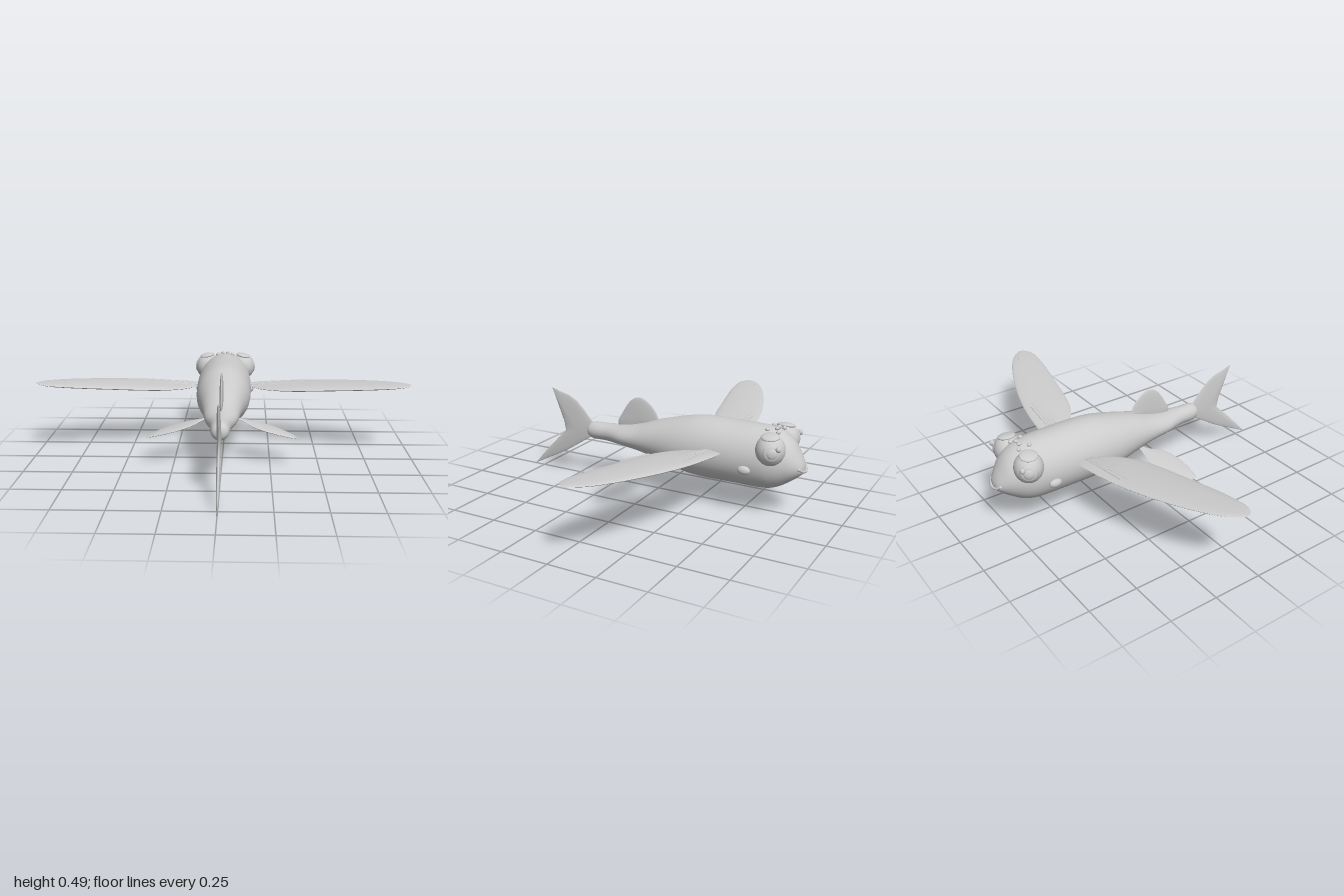
import * as THREE from 'three';

const grey = new THREE.MeshStandardMaterial({ color: 0xcccccc });
grey.name = 'pale grey';

function add(parent, name, geometry, position = [0, 0, 0], scale = [1, 1, 1]) {
  const mesh = new THREE.Mesh(geometry, grey);
  mesh.name = name;
  mesh.position.set(...position);
  mesh.scale.set(...scale);
  parent.add(mesh);
  return mesh;
}

const ball = new THREE.SphereGeometry(1, 32, 20);

function indexed(positions, index) {
  const g = new THREE.BufferGeometry();
  g.setAttribute('position', new THREE.Float32BufferAttribute(positions, 3));
  g.setIndex(index);
  g.computeVertexNormals();
  return g;
}

// Body of elliptical sections: rows of z, top, bottom, half width
function bodyGeometry(rows, steps = 96, sides = 40) {
  const heights = new THREE.CatmullRomCurve3(rows.map(([z, t, b]) => new THREE.Vector3(z, t, b)), false, 'catmullrom');
  const widths = new THREE.CatmullRomCurve3(rows.map(([z, , , w]) => new THREE.Vector3(z, w, 0)), false, 'catmullrom');
  const p = [], index = [];
  for (let i = 0; i <= steps; i++) {
    const h = heights.getPoint(i / steps), w = widths.getPoint(i / steps).y;
    for (let j = 0; j < sides; j++) {
      const a = j / sides * Math.PI * 2;
      p.push(w * Math.cos(a), (h.y + h.z) / 2 + (h.y - h.z) / 2 * Math.sin(a), h.x);
      if (i === steps) continue;
      const k = i * sides + j, n = i * sides + (j + 1) % sides;
      index.push(k, n, k + sides, n, n + sides, k + sides);
    }
  }
  return indexed(p, index);
}

// Lens-shaped fin: outline shrinks to a centre as both faces bulge
function finGeometry(points, center, half, place, smooth = true) {
  let outline = points.map(([u, v]) => new THREE.Vector2(u, v));
  if (smooth) {
    const curve = new THREE.CatmullRomCurve3(outline.map(q => new THREE.Vector3(q.x, q.y, 0)), true);
    outline = curve.getPoints(64).slice(0, 64).map(q => new THREE.Vector2(q.x, q.y));
  }
  if (THREE.ShapeUtils.isClockWise(outline)) outline.reverse();
  const n = outline.length, rings = 8, p = [], index = [];
  for (const side of [1, -1]) {
    const base = p.length / 3;
    for (let r = 0; r <= rings; r++) {
      const angle = r / rings * Math.PI / 2, s = Math.cos(angle);
      for (let j = 0; j < n; j++) {
        const u = center[0] + (outline[j].x - center[0]) * s;
        const v = center[1] + (outline[j].y - center[1]) * s;
        p.push(...place(u, v, side * half * Math.sin(angle)));
        if (r === rings) continue;
        const a = base + r * n + j, b = base + r * n + (j + 1) % n;
        if (side > 0) index.push(a, b, a + n, b, b + n, a + n);
        else index.push(a, a + n, b, b, a + n, b + n);
      }
    }
  }
  return indexed(p, index);
}

const upright = (u, v, w) => [-w, v, u];
const wingY = x => 0.315 + 0.078 * (x - 0.15);
const tube = (pts, r) => new THREE.TubeGeometry(
  new THREE.CatmullRomCurve3(pts.map(q => new THREE.Vector3(...q))), 20, r, 8);

function makeSide() {
  const side = new THREE.Group();

  // Broad gliding wing with a slight upward slope
  add(side, 'wing', finGeometry([
    [0.08, 0.38], [0.15, 0.42], [0.26, 0.415], [0.42, 0.39], [0.57, 0.35], [0.72, 0.295], [0.84, 0.24],
    [0.95, 0.17], [1, 0.095], [0.95, 0.052], [0.83, 0.055], [0.7, 0.077], [0.57, 0.105],
    [0.43, 0.135], [0.31, 0.175], [0.2, 0.25], [0.14, 0.33],
  ], [0.55, 0.23], 0.016, (u, v, w) => [u, wingY(u) + w, -v]));

  // Fin rays on the wing
  for (let i = 0; i < 5; i++) {
    const x = 0.42 + 0.03 * Math.min(i, 2), z = -0.355 + i * 0.023;
    add(side, 'wingRay', tube([
      [0.14, wingY(0.14) + 0.007, -0.375 + i * 0.008],
      [0.3, wingY(0.3) + 0.011, (-0.375 + i * 0.008 + z) / 2],
      [x, wingY(x) + 0.011, z]], 0.003));
  }
  add(side, 'wingTipRay', tube([[0.89, wingY(0.89) + 0.007, -0.17], [0.93, wingY(0.93) + 0.005, -0.15]], 0.003));

  // Small belly fin
  add(side, 'bellyFin', finGeometry([
    [0.07, 0], [0.13, 0.012], [0.2, 0.02], [0.28, -0.005], [0.34, -0.045], [0.385, -0.1], [0.385, -0.13],
    [0.3, -0.14], [0.21, -0.125], [0.15, -0.09], [0.11, -0.04],
  ], [0.25, -0.07], 0.009, (u, v, w) => [u, 0.217 - 0.23 * (u - 0.1) + w, -v]));

  // Bulging eye with iris, pupil, glint and lid
  const eye = [0.1, 0.358, -0.657];
  add(side, 'eyeball', ball, eye, [0.072, 0.077, 0.072]);
  const look = new THREE.Vector3(0.87, 0.04, -0.45).normalize();
  for (const [name, d, r, t] of [['iris', 0.06, 0.043, 0.014], ['pupil', 0.068, 0.026, 0.011]]) {
    const disc = add(side, name, ball, new THREE.Vector3(...eye).addScaledVector(look, d).toArray(), [r, r, t]);
    disc.quaternion.setFromUnitVectors(new THREE.Vector3(0, 0, 1), look);
  }
  add(side, 'eyeGlint', ball, [0.153, 0.385, -0.716], [0.013, 0.015, 0.013]);
  const lid = add(side, 'eyelid', ball, [0.108, 0.425, -0.657], [0.042, 0.013, 0.046]);
  lid.rotation.z = -0.2;

  // Cheek and crown freckles
  add(side, 'cheek', ball, [0.15, 0.252, -0.545], [0.018, 0.022, 0.033]);
  for (const [x, y, z] of [[0.042, 0.431, -0.672], [0.044, 0.439, -0.617], [0.015, 0.442, -0.655]])
    add(side, 'freckle', ball, [x, y, z], [0.011, 0.009, 0.011]);
  return side;
}

export function createModel() {
  const model = new THREE.Group();
  model.name = 'flyingFish';

  add(model, 'body', bodyGeometry([
    [-0.8, 0.256, 0.254, 0.001], [-0.793, 0.285, 0.232, 0.034], [-0.77, 0.33, 0.21, 0.064],
    [-0.73, 0.388, 0.18, 0.097], [-0.67, 0.43, 0.145, 0.128], [-0.6, 0.444, 0.13, 0.144],
    [-0.45, 0.447, 0.13, 0.152], [-0.27, 0.446, 0.13, 0.15], [-0.15, 0.425, 0.145, 0.14],
    [0, 0.385, 0.182, 0.112], [0.1, 0.352, 0.203, 0.096], [0.2, 0.328, 0.216, 0.083],
    [0.3, 0.318, 0.222, 0.054], [0.39, 0.315, 0.222, 0.046], [0.423, 0.302, 0.235, 0.034],
    [0.437, 0.27, 0.268, 0.001],
  ]));

  // Smiling mouth
  add(model, 'mouth', tube([[-0.047, 0.263, -0.785], [-0.026, 0.249, -0.798], [0, 0.244, -0.803],
    [0.026, 0.249, -0.798], [0.047, 0.263, -0.785]], 0.007));
  for (const x of [-0.047, 0.047]) add(model, 'mouthCorner', ball, [x, 0.263, -0.785], [0.008, 0.008, 0.008]);

  // Back fin and forked tail
  add(model, 'backFin', finGeometry([
    [0, 0.36], [0.01, 0.41], [0.05, 0.46], [0.1, 0.487], [0.135, 0.484], [0.17, 0.46],
    [0.215, 0.395], [0.245, 0.33], [0.2, 0.3], [0.1, 0.32],
  ], [0.12, 0.38], 0.01, upright));
  add(model, 'tailFin', finGeometry([
    [0.39, 0.27], [0.41, 0.312], [0.46, 0.37], [0.51, 0.418], [0.56, 0.443], [0.62, 0.457], [0.67, 0.47],
    [0.645, 0.41], [0.62, 0.345], [0.597, 0.285], [0.588, 0.233], [0.64, 0.186], [0.7, 0.125],
    [0.76, 0.06], [0.81, 0.003], [0.73, 0.045], [0.64, 0.09], [0.56, 0.135], [0.49, 0.18], [0.42, 0.225],
  ], [0.52, 0.26], 0.01, upright, false));

  // Paired parts
  const left = makeSide(), right = makeSide();
  left.name = 'leftSide';
  right.name = 'rightSide';
  right.scale.x = -1;
  model.add(left, right);
  return model;
}
